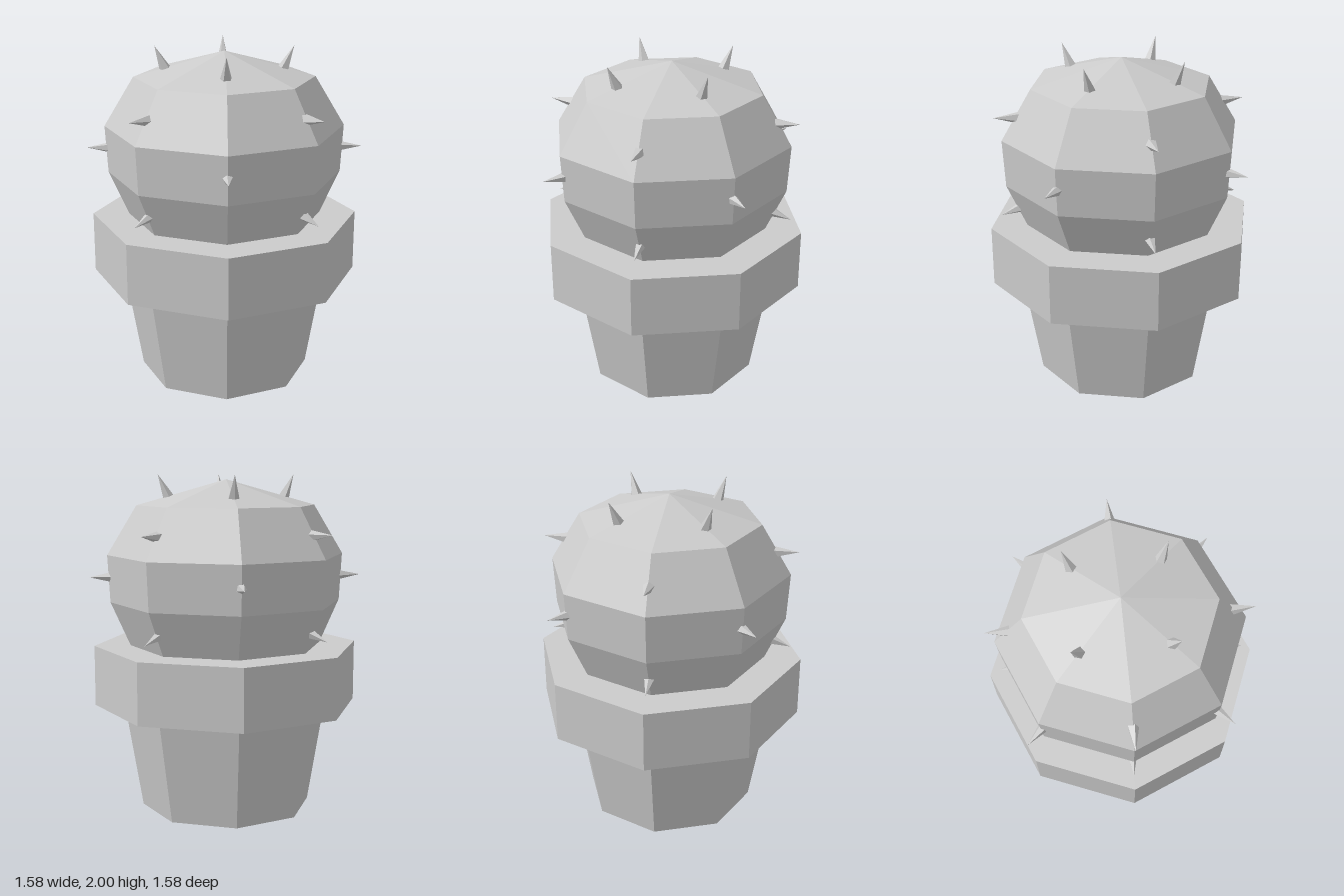
import * as THREE from 'three';

export function createModel() {
  const model = new THREE.Group();
  model.name = 'pottedCactus';
  const material = new THREE.MeshStandardMaterial({ color: 0xcccccc, flatShading: true });

  const add = (name, geometry) => {
    const mesh = new THREE.Mesh(geometry, material);
    mesh.name = name;
    model.add(mesh);
    return mesh;
  };

  // Octagonal pot with a wide rim, corners on the axes
  add('pot', new THREE.CylinderGeometry(0.615, 0.51, 0.63, 8)).position.y = 0.315;
  add('rim', new THREE.CylinderGeometry(0.79, 0.79, 0.36, 8)).position.y = 0.81;

  // Faceted cactus body
  const profile = [[0.575, 0.99], [0.69, 1.25], [0.705, 1.53], [0.53, 1.82], [0, 1.97]];
  add('cactusBody', new THREE.LatheGeometry(profile.map(([r, y]) => new THREE.Vector2(r, y)), 8));

  // Rings of four spines: base and tip as [radius, height], with a start angle
  const up = new THREE.Vector3(0, 1, 0);
  const rings = [
    { name: 'topSpine', base: [0.34, 1.86], tip: [0.403, 2.0], start: Math.PI / 4 },
    { name: 'upperSpine', base: [0.595, 1.66], tip: [0.745, 1.67], start: 0 },
    { name: 'middleSpine', base: [0.66, 1.4], tip: [0.813, 1.4], start: Math.PI / 4 },
    { name: 'lowerSpine', base: [0.59, 1.115], tip: [0.725, 1.07], start: 0 },
  ];
  for (const { name, base, tip, start } of rings) {
    for (let i = 0; i < 4; i++) {
      const angle = start + i * Math.PI / 2;
      const place = ([r, y]) => new THREE.Vector3(r * Math.sin(angle), y, r * Math.cos(angle));
      const from = place(base), to = place(tip);
      const axis = to.clone().sub(from);
      const spine = add(name + (i + 1), new THREE.ConeGeometry(0.036, axis.length(), 5));
      spine.position.copy(from).add(to).multiplyScalar(0.5);
      spine.quaternion.setFromUnitVectors(up, axis.normalize());
    }
  }
  return model;
}
